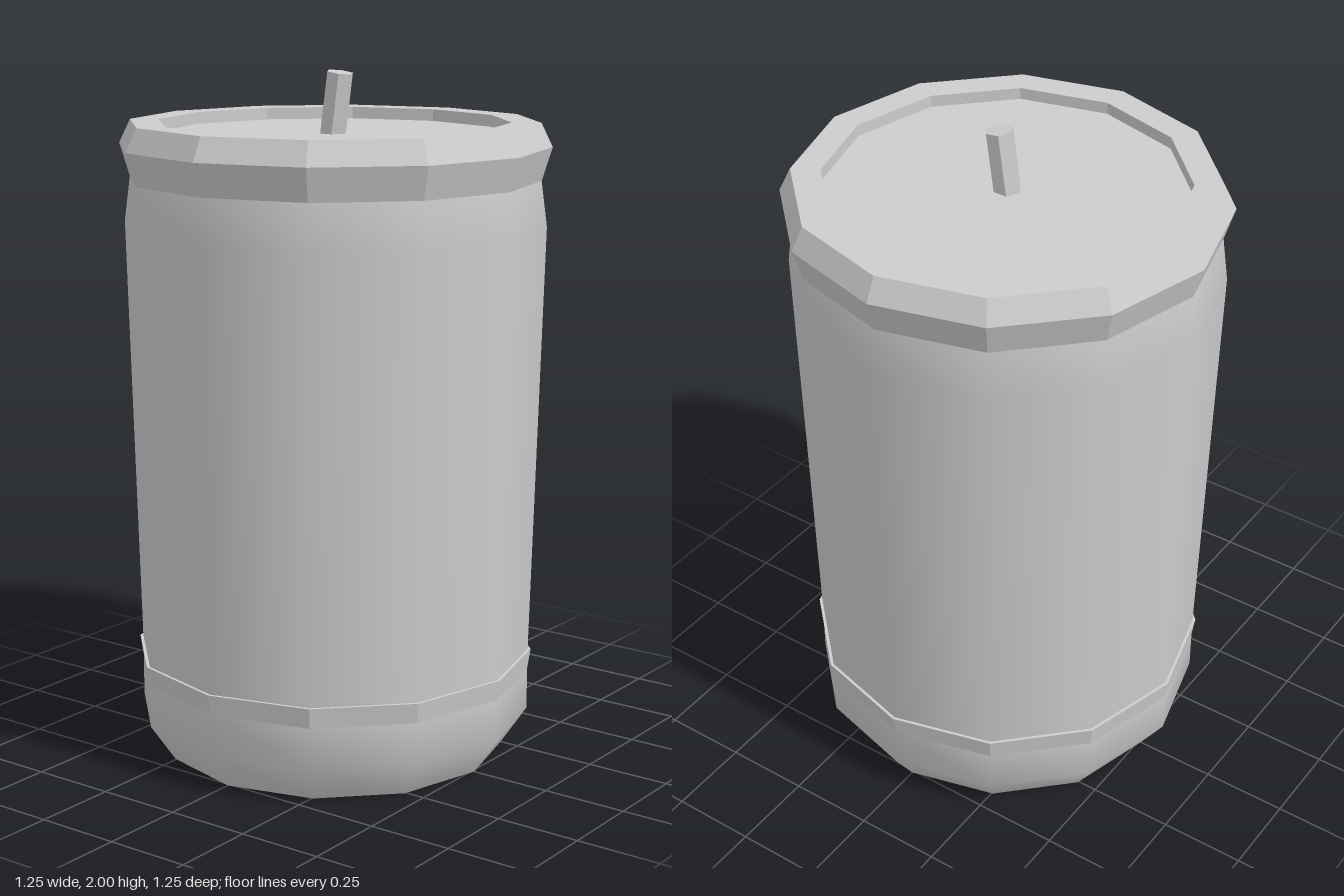
import * as THREE from 'three';

const SIDES = 12;
const grey = new THREE.MeshStandardMaterial({ color: 0xcccccc });
grey.name = 'metal grey';

// Twelve-sided turned shape from [radius, height] pairs, ordered bottom to top along the outside
function turned(profile) {
  return new THREE.LatheGeometry(profile.map(([r, y]) => new THREE.Vector2(r, y)), SIDES);
}

// Gives every face its own flat normal
function faceted(geometry) {
  const flat = geometry.toNonIndexed();
  flat.computeVertexNormals();
  return flat;
}

function part(name, geometry) {
  const mesh = new THREE.Mesh(geometry, grey);
  mesh.name = name;
  return mesh;
}

export function createModel() {
  const model = new THREE.Group();
  model.name = 'canister';

  // Smooth rounded foot
  model.add(part('base', turned([[0.508, 0], [0.582, 0.11], [0.582, 0.24]])));

  // Flat underside
  model.add(part('bottom', faceted(turned([[0, 0], [0.508, 0]]))));

  // Faceted band with a small ledge on top
  model.add(part('band', faceted(turned([[0.582, 0.235], [0.591, 0.295], [0.57, 0.295]]))));

  // Smooth wall, widening upwards to a narrower neck
  model.add(part('body', turned([[0.582, 0.29], [0.613, 1.56], [0.595, 1.695]])));

  // Faceted lid with a bevelled rim and a sunken top
  model.add(part('lid', faceted(turned([
    [0.58, 1.692], [0.596, 1.692], [0.625, 1.787], [0.592, 1.855],
    [0.508, 1.855], [0.508, 1.82], [0, 1.82],
  ]))));

  // Hexagonal stem leaning forwards
  const length = 0.2;
  const stemGeometry = new THREE.CylinderGeometry(0.04, 0.04, length, 6);
  stemGeometry.translate(0, -length / 2, 0);
  const stem = part('stem', faceted(stemGeometry));
  stem.rotation.x = 0.143;
  stem.position.set(0, 1.994, 0.023);
  model.add(stem);

  return model;
}
